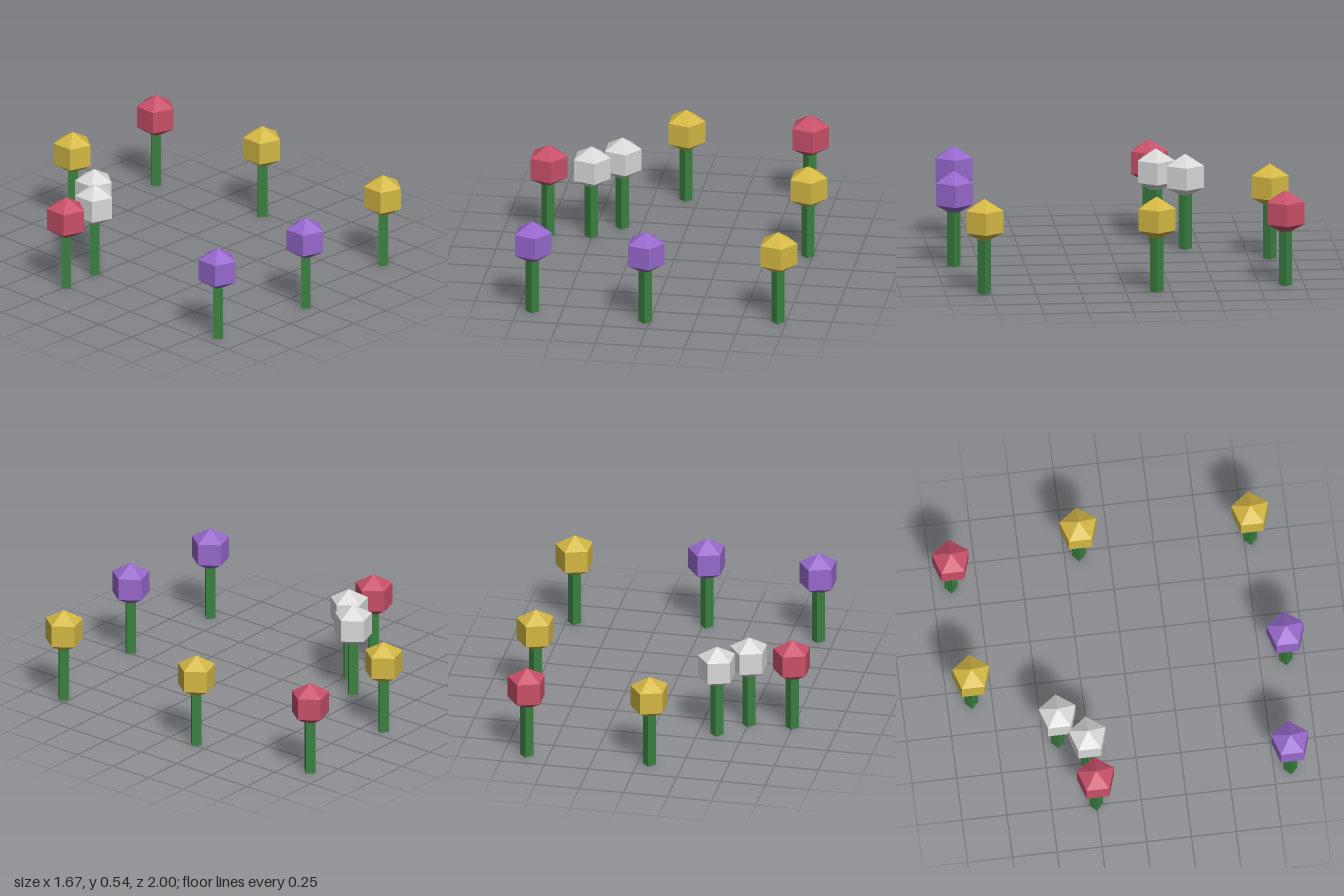
import * as THREE from 'three';

const flat = (name, color) => {
  const m = new THREE.MeshStandardMaterial({ color });
  m.name = name;
  return m;
};

const HEAD_RADIUS = 0.125;
const HEAD_HEIGHT = 0.4125;
const STEM_RADIUS = 0.0375;
const STEM_LENGTH = 0.375;

// Faceted geometry: unshared corners give one normal per face
function faceted(geometry) {
  const g = geometry.toNonIndexed();
  g.computeVertexNormals();
  return g;
}

export function createModel() {
  const stemGreen = flat('stemGreen', 0x3a8040);
  const petals = {
    red: flat('petalRed', 0xc85069),
    yellow: flat('petalYellow', 0xd4b844),
    purple: flat('petalPurple', 0x9768cc),
    white: flat('petalWhite', 0xd9d9d9),
  };

  // Five-sided bud with a point towards +x
  const headGeometry = faceted(new THREE.SphereGeometry(HEAD_RADIUS, 5, 3).rotateY(Math.PI));
  // Four-sided stem, corners on the axes
  const stemGeometry = faceted(new THREE.CylinderGeometry(STEM_RADIUS, STEM_RADIUS, STEM_LENGTH, 4));

  // Flower positions: colour, x, z
  const flowers = [
    ['red', -0.747, -0.252],
    ['red', 0.621, -0.896],
    ['white', -0.506, -0.269],
    ['white', -0.356, -0.419],
    ['yellow', -0.068, -0.866],
    ['yellow', 0.724, -0.171],
    ['yellow', 0.704, 0.786],
    ['purple', -0.665, 0.843],
    ['purple', -0.023, 0.895],
  ];

  const group = new THREE.Group();
  group.name = 'flowerPatch';
  for (const [colour, x, z] of flowers) {
    const flower = new THREE.Group();
    flower.name = `${colour}Flower`;
    flower.position.set(x, 0, z);

    const stem = new THREE.Mesh(stemGeometry, stemGreen);
    stem.name = 'stem';
    stem.position.y = STEM_LENGTH / 2;

    const head = new THREE.Mesh(headGeometry, petals[colour]);
    head.name = 'flowerHead';
    head.position.y = HEAD_HEIGHT;

    flower.add(stem, head);
    group.add(flower);
  }
  return group;
}
